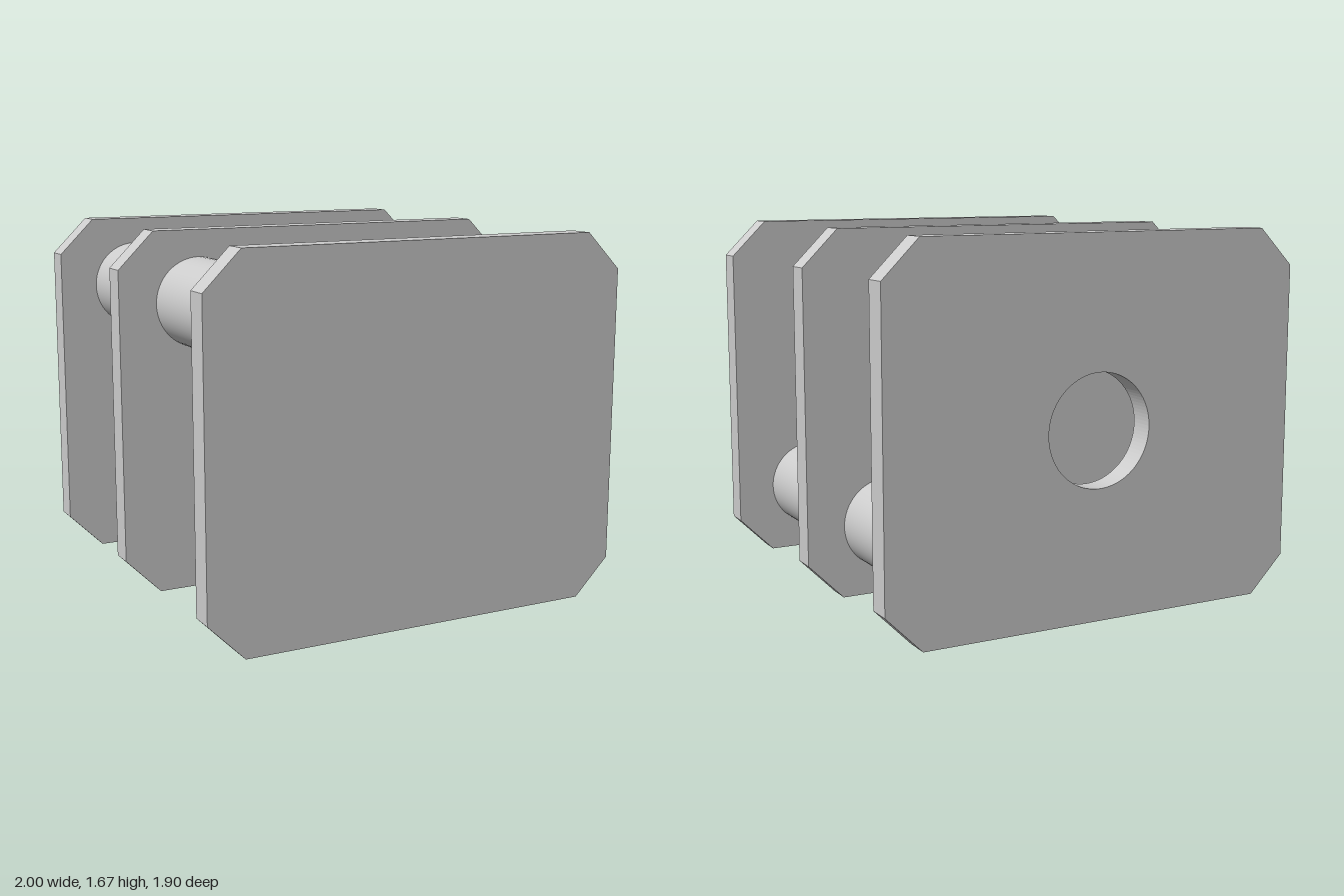
import * as THREE from 'three';

const W = 1, H = 1.67, C = 0.167, T = 0.114; // half width, height, corner cut, plate thickness

const material = new THREE.MeshStandardMaterial({ color: 0xcccccc });

// Rectangular plate with cut corners and an optional round hole in the middle
function plate(name, zBack, holeRadius = 0) {
  const shape = new THREE.Shape([
    [-W + C, 0], [W - C, 0], [W, C], [W, H - C],
    [W - C, H], [-W + C, H], [-W, H - C], [-W, C],
  ].map(([x, y]) => new THREE.Vector2(x, y)));
  if (holeRadius) {
    shape.holes.push(new THREE.Path().absarc(0, H / 2, holeRadius, 0, Math.PI * 2, true));
  }
  const geometry = new THREE.ExtrudeGeometry(shape, { depth: T, bevelEnabled: false, curveSegments: 48 });
  const mesh = new THREE.Mesh(geometry, material);
  mesh.name = name;
  mesh.position.z = zBack;
  return mesh;
}

// Round spacer rod running along z between two plates
function rod(name, x, y, z0, z1) {
  const geometry = new THREE.CylinderGeometry(0.206, 0.206, z1 - z0, 64).rotateX(Math.PI / 2);
  const mesh = new THREE.Mesh(geometry, material);
  mesh.name = name;
  mesh.position.set(x, y, (z0 + z1) / 2);
  return mesh;
}

export function createModel() {
  const model = new THREE.Group();
  model.name = 'spacedPlates';

  const zFront = 0.95 - T, zMiddle = -T, zBack = -0.95;
  model.add(
    plate('frontPlate', zFront),
    plate('middlePlate', zMiddle),
    plate('backPlate', zBack, 0.25),
  );

  // Two rods on one diagonal, in both gaps
  for (const [side, sign] of [['lowerLeft', 1], ['upperRight', -1]]) {
    const x = sign * 0.618, y = H / 2 - sign * 0.506;
    model.add(
      rod(side + 'FrontRod', x, y, 0, zFront),
      rod(side + 'BackRod', x, y, zBack + T, zMiddle),
    );
  }
  return model;
}
